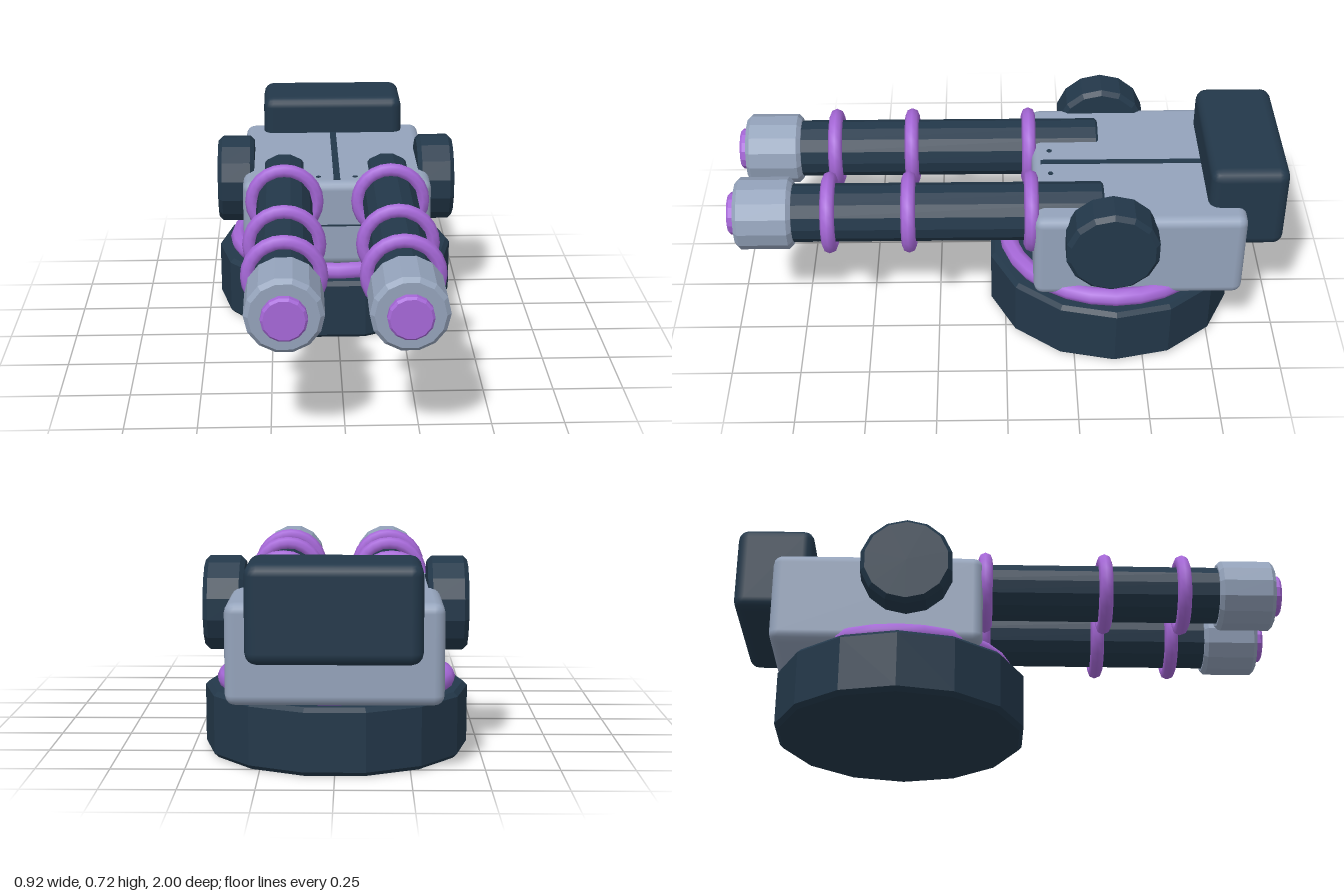
import * as THREE from 'three';
import { toCreasedNormals } from 'three/addons/utils/BufferGeometryUtils.js';
import { RoundedBoxGeometry } from 'three/addons/geometries/RoundedBoxGeometry.js';

const SIDES = 14;

// Bevelled drum standing on y = 0, with flat facets and corners on the x axis
function drum(radius, height, bevel) {
  const profile = [
    [0, 0], [radius - bevel, 0], [radius, bevel],
    [radius, height - bevel], [radius - bevel, height], [0, height],
  ].map(([x, y]) => new THREE.Vector2(x, y));
  const geo = new THREE.LatheGeometry(profile, SIDES);
  geo.rotateY(Math.PI / 2);
  return toCreasedNormals(geo, 0.3);
}

function ring(radius, tube, sides) {
  return toCreasedNormals(new THREE.TorusGeometry(radius, tube, 8, sides), 0.9);
}

export function createModel() {
  const dark = new THREE.MeshStandardMaterial({ color: 0x23384a });
  dark.name = 'dark navy';
  const grey = new THREE.MeshStandardMaterial({ color: 0x94a3bb });
  grey.name = 'blue grey';
  const purple = new THREE.MeshStandardMaterial({ color: 0xa668d8 });
  purple.name = 'purple';

  const model = new THREE.Group();
  model.name = 'twinBarrelTurret';

  const add = (parent, name, geo, mat, x = 0, y = 0, z = 0) => {
    const mesh = new THREE.Mesh(geo, mat);
    mesh.name = name;
    mesh.position.set(x, y, z);
    parent.add(mesh);
    return mesh;
  };

  // Turning base and glowing ring
  const baseZ = -0.395;
  add(model, 'base', drum(0.46, 0.23, 0.015), dark, 0, 0, baseZ);
  const turnRing = ring(0.384, 0.034, SIDES * 2);
  turnRing.rotateX(-Math.PI / 2);
  add(model, 'baseRing', turnRing, purple, 0, 0.25, baseZ);

  // Housing and rear counterweight
  add(model, 'housing', new RoundedBoxGeometry(0.715, 0.34, 0.755, 2, 0.035), grey, 0, 0.405, -0.477);
  add(model, 'rearBlock', new RoundedBoxGeometry(0.565, 0.325, 0.28, 2, 0.04), dark, 0, 0.558, -0.86);

  // Panel seam and fasteners on the housing
  add(model, 'topSeam', new THREE.BoxGeometry(0.025, 0.006, 0.62), dark, 0, 0.574, -0.44);
  add(model, 'frontSeam', new THREE.BoxGeometry(0.2, 0.006, 0.004), dark, 0, 0.402, -0.099);

  for (const side of [1, -1]) {
    const label = side > 0 ? 'left' : 'right';
    add(model, label + 'Bolt', new THREE.CylinderGeometry(0.01, 0.01, 0.006, 8), dark, side * 0.07, 0.574, -0.165);

    // Side pod
    const pod = drum(0.167, 0.14, 0.016);
    pod.rotateZ(-side * Math.PI / 2);
    add(model, label + 'Pod', pod, dark, side * 0.316, 0.503, -0.372);

    // Barrel with rings, muzzle and emitter
    const gun = new THREE.Group();
    gun.name = label + 'Gun';
    gun.position.set(side * 0.2, 0.505, 0);
    model.add(gun);
    const along = (name, radius, z0, z1, bevel, mat) => {
      const geo = drum(radius, z1 - z0, bevel);
      geo.rotateX(Math.PI / 2);
      add(gun, name, geo, mat, 0, 0, z0);
    };
    along('barrel', 0.105, -0.35, 0.8, 0.008, dark);
    along('muzzle', 0.13, 0.762, 0.967, 0.015, grey);
    along('emitter', 0.076, 0.94, 0.995, 0.008, purple);
    for (const z of [-0.09, 0.347, 0.632]) {
      add(gun, 'barrelRing', ring(0.122, 0.026, 24), purple, 0, 0, z);
    }
  }
  return model;
}
